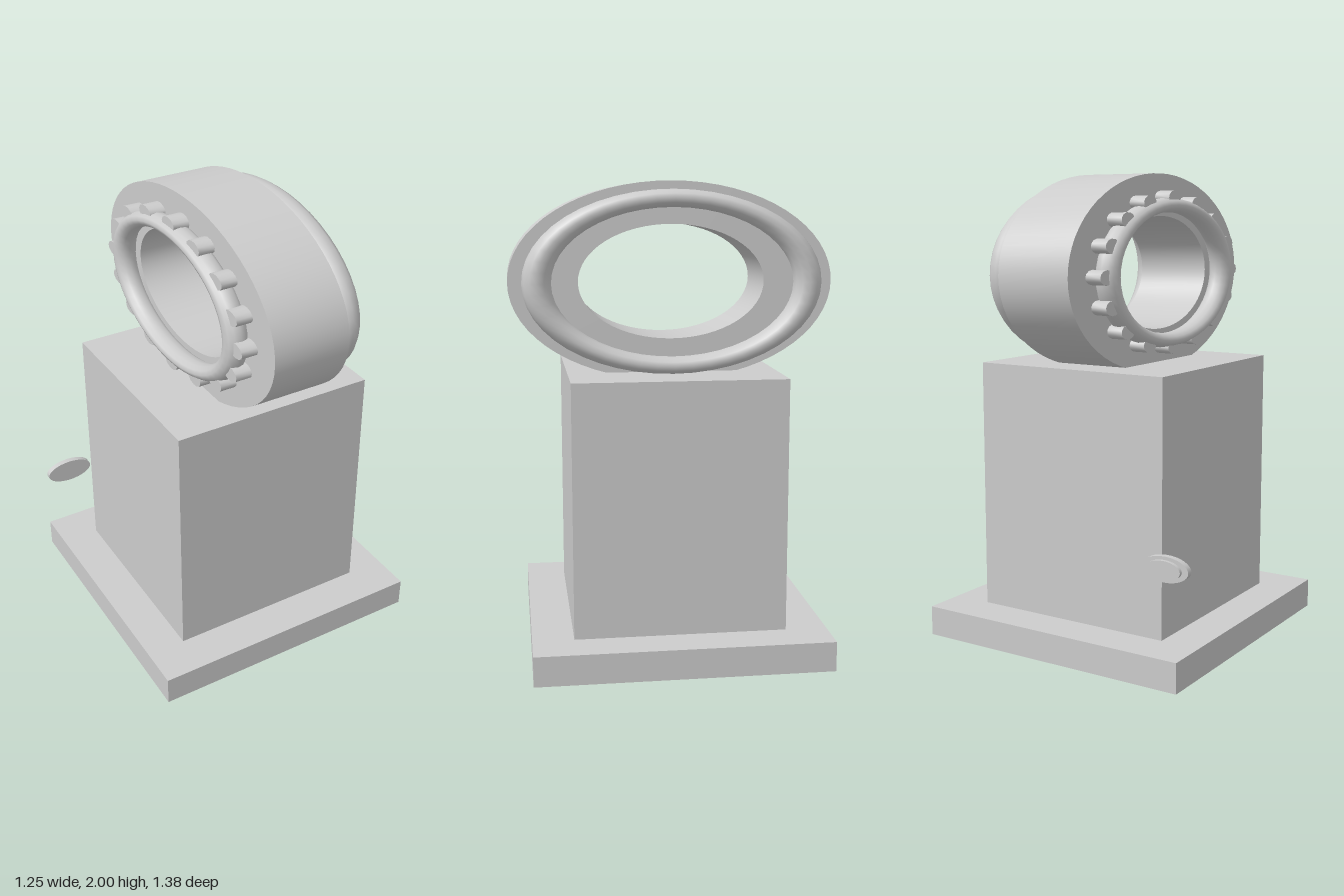
import * as THREE from 'three';
import { toCreasedNormals } from 'three/addons/utils/BufferGeometryUtils.js';

export function createModel() {
  const model = new THREE.Group();
  const stone = new THREE.MeshStandardMaterial({ color: 0xcccccc });
  stone.name = 'light grey';

  const add = (parent, name, geometry, x, y, z) => {
    const mesh = new THREE.Mesh(geometry, stone);
    mesh.name = name;
    mesh.position.set(x, y, z);
    parent.add(mesh);
    return mesh;
  };

  // Square plinth and pedestal block
  add(model, 'plinth', new THREE.BoxGeometry(1.24, 0.127, 1.245), 0.005, 0.0635, -0.003);
  add(model, 'pedestal', new THREE.BoxGeometry(0.9, 1.073, 0.895), 0.005, 0.6635, -0.002);

  // Flattened ring assembly, its axis along x
  const ring = new THREE.Group();
  ring.name = 'ringAssembly';
  ring.position.set(0, 1.582, 0);
  ring.scale.y = 0.608;
  model.add(ring);

  // Thick band with an open bore
  const [inner, outer, half] = [0.395, 0.688, 0.168];
  const profile = [[inner, -half], [outer, -half], [outer, half], [inner, half], [inner, -half]]
    .map(([r, h]) => new THREE.Vector2(r, h));
  const band = add(ring, 'band', toCreasedNormals(new THREE.LatheGeometry(profile, 64), 0.6), 0.003, 0, 0);
  band.rotation.z = -Math.PI / 2;

  // Rounded rims on both faces
  const rim = (name, radius, tube, x) => {
    add(ring, name, new THREE.TorusGeometry(radius, tube, 12, 48), x, 0, 0).rotation.y = Math.PI / 2;
  };
  rim('leftRim', 0.57, 0.061, 0.232);
  rim('rightRim', 0.47, 0.05, -0.205);

  // Ring of short round pegs beside the right rim
  const pegGeometry = toCreasedNormals(new THREE.CylinderGeometry(0.05, 0.05, 0.08, 12), 0.8);
  pegGeometry.rotateZ(Math.PI / 2);
  for (let i = 0; i < 16; i++) {
    const a = (i / 16) * Math.PI * 2;
    add(ring, 'peg', pegGeometry, -0.195, 0.52 * Math.cos(a), 0.52 * Math.sin(a)).rotation.x = a;
  }

  // Oval stepped medallion floating behind the pedestal
  const disc = (name, radius, depth, z) => {
    const geometry = new THREE.CylinderGeometry(radius, radius, depth, 32);
    geometry.rotateX(Math.PI / 2);
    add(model, name, geometry, -0.522, 0.467, z).scale.y = 0.49;
  };
  disc('medallionBase', 0.107, 0.026, -0.549);
  disc('medallionFace', 0.079, 0.016, -0.569);

  return model;
}
